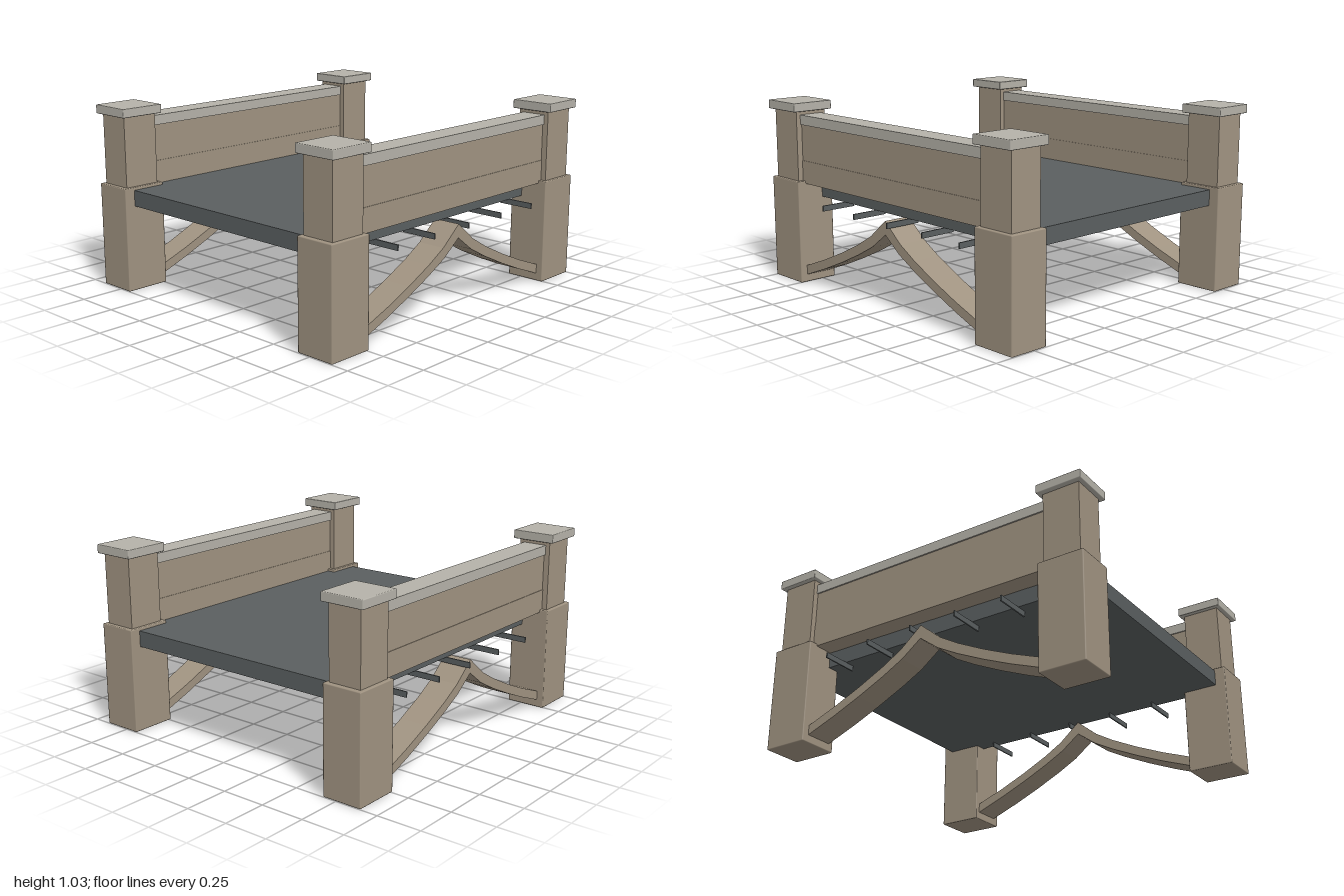
import * as THREE from 'three';
import { RoundedBoxGeometry } from 'three/addons/geometries/RoundedBoxGeometry.js';

const mat = (name, color) => {
  const m = new THREE.MeshStandardMaterial({ color });
  m.name = name;
  return m;
};

export function createModel() {
  const bridge = new THREE.Group();
  bridge.name = 'bridge';
  const stone = mat('tan stone', 0xa09381);
  const capStone = mat('pale cap stone', 0xb5b2a9);
  const slate = mat('dark slate', 0x5a5f60);

  const add = (name, geometry, material) => {
    const mesh = new THREE.Mesh(geometry, material);
    mesh.name = name;
    bridge.add(mesh);
    return mesh;
  };
  // Box given by its limits; bevel > 0 softens the edges slightly
  const block = (name, material, [x0, x1], [y0, y1], [z0, z1], bevel = 0) => {
    const size = [x1 - x0, y1 - y0, z1 - z0];
    const geometry = bevel
      ? new RoundedBoxGeometry(...size, 1, bevel)
      : new THREE.BoxGeometry(...size);
    add(name, geometry, material)
      .position.set((x0 + x1) / 2, (y0 + y1) / 2, (z0 + z1) / 2);
  };
  // Limits mirrored to the chosen side
  const flip = (s, a, b) => (s > 0 ? [a, b] : [-b, -a]);

  // Road deck
  block('deck', slate, [-0.74, 0.74], [0.485, 0.575], [-0.94, 0.94]);

  // Arch brace outline: upper edge, then lower edge, for one half
  const upper = [[0, 0.484], [0.125, 0.38], [0.24, 0.313], [0.4, 0.235], [0.56, 0.166], [0.76, 0.09]];
  const lower = [[0, 0.408], [0.115, 0.322], [0.24, 0.255], [0.4, 0.18], [0.56, 0.112], [0.76, 0.036]];
  const mirrored = (pts) => pts.slice(1).reverse().map(([z, y]) => [-z, y]);
  const outline = [...mirrored(upper), ...upper, ...[...lower].reverse(), ...lower.slice(1).map(([z, y]) => [-z, y])];
  const archShape = new THREE.Shape(outline.map(([z, y]) => new THREE.Vector2(z, y)));
  const archGeometry = new THREE.ExtrudeGeometry(archShape, { depth: 0.16, bevelEnabled: false });
  archGeometry.translate(0, 0, -0.08);
  archGeometry.rotateY(Math.PI / 2);

  for (const s of [1, -1]) {
    const side = s > 0 ? 'left' : 'right';

    // Corner pillars: base, shaft and cap
    for (const e of [1, -1]) {
      const end = side + (e > 0 ? 'Front' : 'Back');
      block(end + 'PillarBase', stone, flip(s, 0.67, 0.9), [0, 0.59], flip(e, 0.74, 1), 0.006);
      block(end + 'PillarShaft', stone, flip(s, 0.69, 0.88), [0.58, 0.99], flip(e, 0.765, 0.975));
      block(end + 'PillarCap', capStone, flip(s, 0.66, 0.91), [0.985, 1.035], flip(e, 0.74, 1), 0.005);
    }

    // Parapet wall in two courses with a coping on top
    block(side + 'WallLower', stone, flip(s, 0.72, 0.85), [0.575, 0.705], [-0.78, 0.78]);
    block(side + 'WallUpper', stone, flip(s, 0.723, 0.847), [0.705, 0.91], [-0.78, 0.78]);
    block(side + 'Coping', capStone, flip(s, 0.715, 0.855), [0.91, 0.965], [-0.78, 0.78]);

    // Pointed arch brace between the pillar feet
    add(side + 'Arch', archGeometry, stone).position.x = s * 0.78;

    // Thin bracket plates under the deck edge
    for (let i = 0; i < 5; i++) {
      const z = 0.52 - i * 0.285;
      block(side + 'Bracket' + (i + 1), slate, flip(s, 0.68, 0.89), [0.455, 0.486], [z - 0.004, z + 0.004]);
    }
  }
  return bridge;
}
